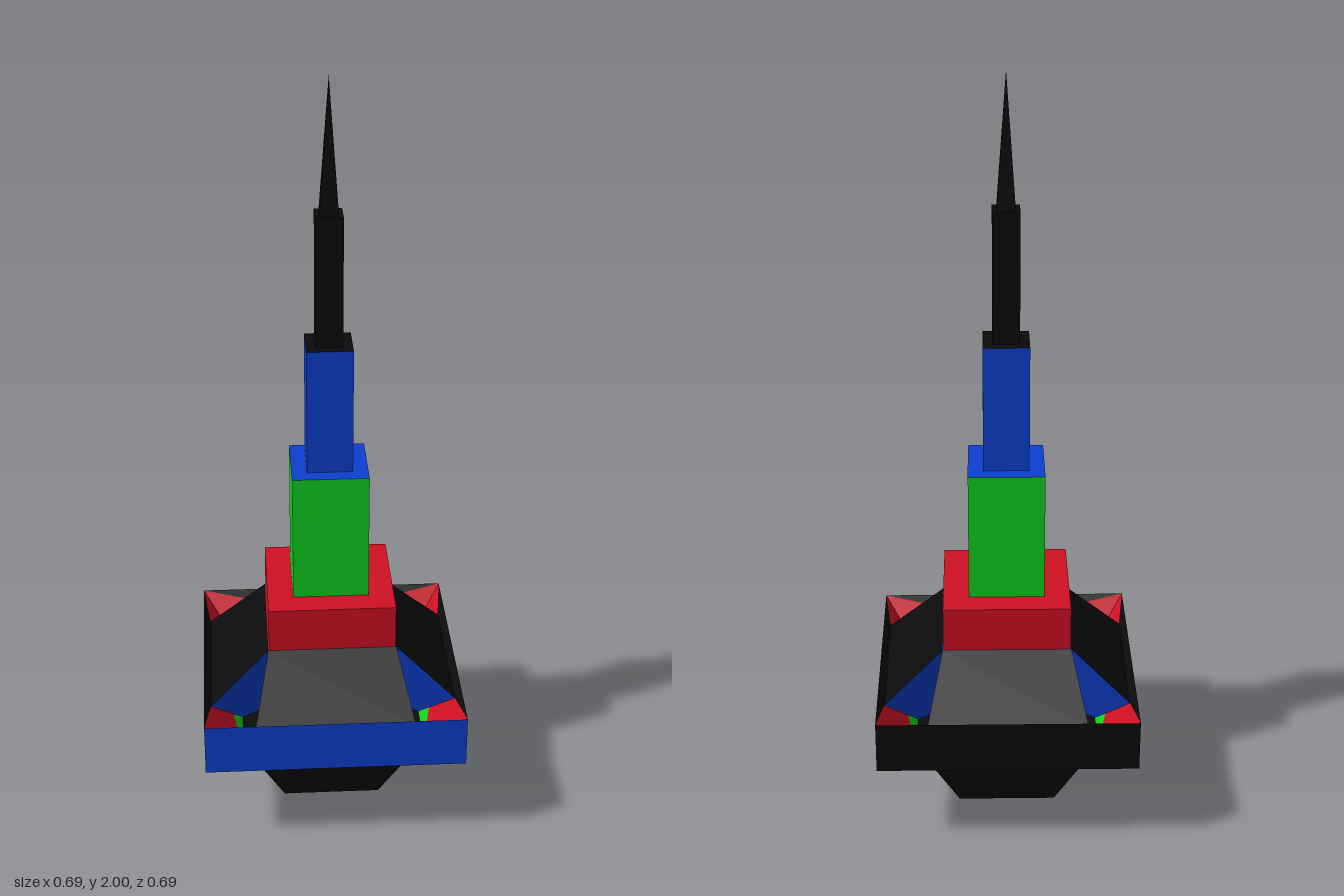
import * as THREE from 'three';

const paint = (hex) => new THREE.MeshStandardMaterial({ color: hex, flatShading: true, side: THREE.DoubleSide });

export function createModel() {
  const model = new THREE.Group();
  const black = paint(0x0b0b0b), blue = paint(0x0d40d0), green = paint(0x0fd01e), red = paint(0xd01024);

  const add = (name, geometry, material, parent = model) => {
    const mesh = new THREE.Mesh(geometry, material);
    mesh.name = name;
    parent.add(mesh);
    return mesh;
  };

  // Square block; the top can have its own colour
  const block = (name, half, y0, y1, side, top = side) =>
    add(name, new THREE.BoxGeometry(2 * half, y1 - y0, 2 * half).translate(0, (y0 + y1) / 2, 0),
      [side, side, top, side, side, side]);

  // Square frustum given by half-widths at its bottom and top
  const frustum = (name, half0, half1, y0, y1, material) =>
    add(name, new THREE.CylinderGeometry(half1 * Math.SQRT2, half0 * Math.SQRT2, y1 - y0, 4)
      .rotateY(Math.PI / 4).translate(0, (y0 + y1) / 2, 0), material);

  // Fan of triangles around the first corner
  const fan = (name, corners, material, parent) => {
    const points = [];
    for (let i = 1; i < corners.length - 1; i++) points.push(corners[0], corners[i], corners[i + 1]);
    const geometry = new THREE.BufferGeometry().setFromPoints(points.map((p) => new THREE.Vector3(...p)));
    geometry.computeVertexNormals();
    return add(name, geometry, material, parent);
  };

  // Tapered foot
  frustum('foot', 0.13, 0.24, 0, 0.24, black);

  // Stepped tower and spire
  block('lowerBlock', 0.168, 0.241, 0.62, red);
  block('middleTower', 0.1, 0.62, 0.97, green, blue);
  block('upperTower', 0.06, 0.97, 1.31, blue, black);
  block('mast', 0.035, 1.31, 1.655, black);
  frustum('spire', 0.024, 0, 1.655, 2, black);

  // Underside of the wide collar
  add('collarUnderside', new THREE.PlaneGeometry(0.686, 0.686).rotateX(Math.PI / 2).translate(0, 0.24, 0), black);

  // Four matching sides: collar wall, sunken floor and sloping roof panel
  const W = 0.343;
  for (let i = 0; i < 4; i++) {
    const side = new THREE.Group();
    side.name = 'side' + (i + 1);
    side.rotation.y = i * Math.PI / 2;
    model.add(side);

    fan('collarWall', [[-W, 0.24, W], [W, 0.24, W], [W, 0.38, W], [-W, 0.38, W]], i === 2 ? black : blue, side);

    // Floor dips from the rim to the foot, split around its middle
    const mid = [0, 0.318, 0.298];
    const outL = [-W, 0.38, W], outR = [W, 0.38, W], inL = [-0.241, 0.241, 0.241], inR = [0.241, 0.241, 0.241];
    fan('floorOuter', [mid, outL, outR], black, side);
    fan('floorRight', [mid, outR, inR], red, side);
    fan('floorInner', [mid, inR, inL], green, side);
    fan('floorLeft', [mid, inL, outL], red, side);

    // Roof panel with cheeks narrowing to a point underneath
    const topL = [-0.17, 0.5, 0.17], topR = [0.17, 0.5, 0.17];
    const lowL = [-0.21, 0.357, 0.325], lowR = [0.21, 0.357, 0.325], root = [0, 0.13, 0.17];
    fan('roofPanel', [topL, lowL, lowR, topR], black, side);
    fan('roofCheekRight', [root, topR, lowR], blue, side);
    fan('roofCheekLeft', [root, lowL, topL], blue, side);
  }

  return model;
}
